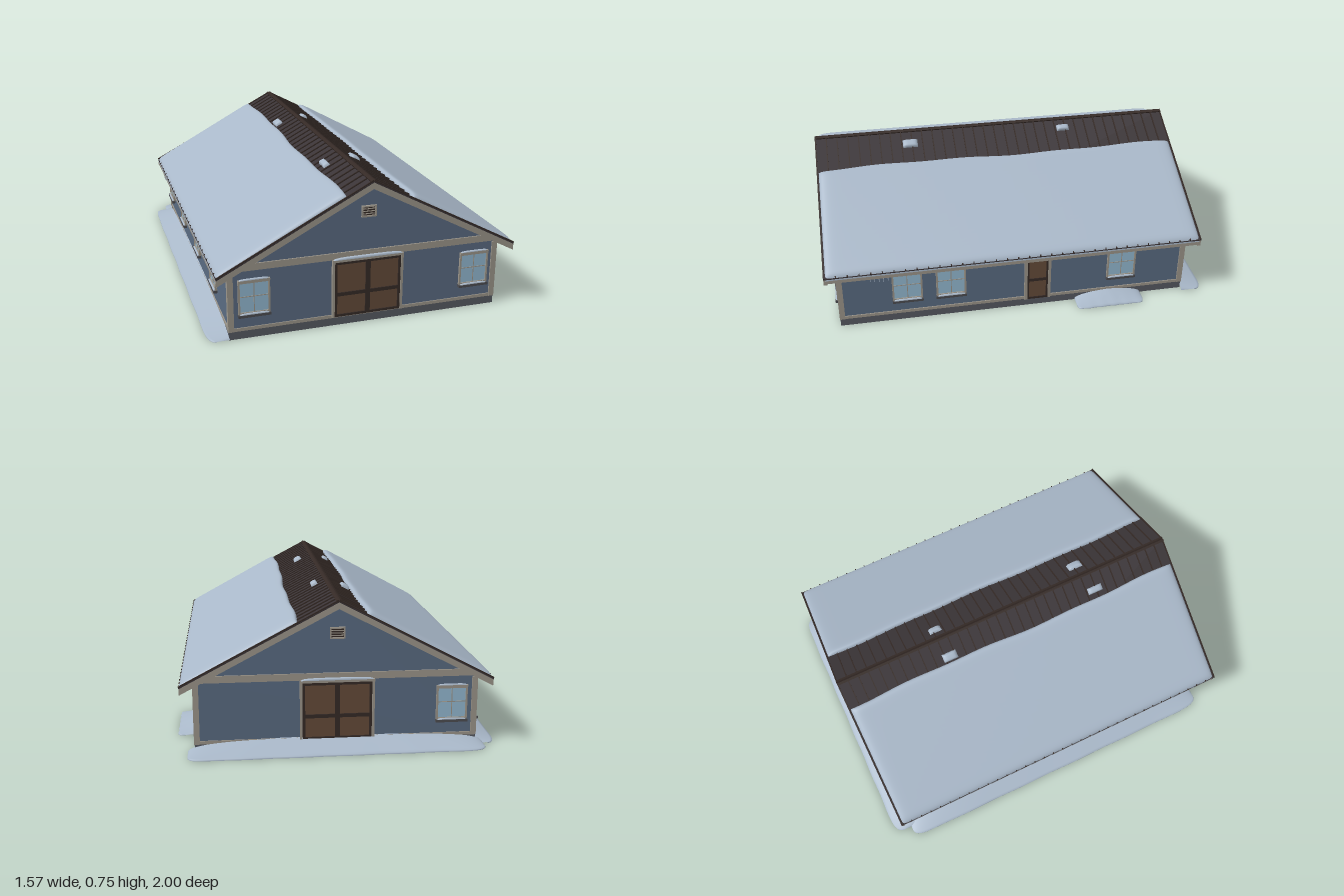
import * as THREE from 'three';

const mat = (color, side = THREE.FrontSide) => new THREE.MeshStandardMaterial({ color, side });
const M = {
  wall: mat(0x5a6b82), trim: mat(0x9c968b), base: mat(0x575a62), roof: mat(0x3a3437), dark: mat(0x352a26),
  door: mat(0x644b39), glass: mat(0x94bad2), metal: mat(0x4c4c50), floor: mat(0x4a3a31),
  snow: mat(0xa9b8c9, THREE.DoubleSide),
};
const HW = 0.683, HL = 0.907;                      // wall half width and half length
const RIDGE = 0.74, EAVE_X = 0.75, EAVE_Y = 0.345, RL = 0.97;
const SLOPE = (RIDGE - EAVE_Y) / EAVE_X, ANGLE = Math.atan(SLOPE);
const roofY = (x) => RIDGE - SLOPE * Math.abs(x);

function add(parent, name, geometry, material, x = 0, y = 0, z = 0) {
  const m = new THREE.Mesh(geometry, material);
  m.name = name;
  m.position.set(x, y, z);
  parent.add(m);
  return m;
}
const box = (p, name, material, w, h, d, x, y, z) => add(p, name, new THREE.BoxGeometry(w, h, d), material, x, y, z);

function prism(points, depth) {
  const shape = new THREE.Shape(points.map(([x, y]) => new THREE.Vector2(x, y)));
  return new THREE.ExtrudeGeometry(shape, { depth, bevelEnabled: false });
}

// Inverted V section following the roof, from "top" to "bottom" below the roof line
function chevron(top, bottom, halfWidth, depth) {
  const e = roofY(halfWidth);
  return prism([[-halfWidth, e - bottom], [0, RIDGE - bottom], [halfWidth, e - bottom],
    [halfWidth, e - top], [0, RIDGE - top], [-halfWidth, e - top]], depth);
}

// Group on a wall: local x to the right, y up, z outwards
function onWall(parent, name, side, along) {
  const g = new THREE.Group();
  g.name = name;
  const [x, z, turn] = {
    front: [along, HL, 0], back: [along, -HL, Math.PI],
    left: [HW, along, Math.PI / 2], right: [-HW, along, -Math.PI / 2],
  }[side];
  g.position.set(x, 0, z);
  g.rotation.y = turn;
  parent.add(g);
  return g;
}

// Rectangular surround of four boards
function surround(g, name, material, w, h, t, d, y) {
  for (const s of [-1, 1]) {
    box(g, name, material, t, h, d, s * (w - t) / 2, y, d / 2);
    box(g, name, material, w - 2 * t, t, d, 0, y + s * (h - t) / 2, d / 2);
  }
}

function addWindow(parent, side, along) {
  const g = onWall(parent, 'window', side, along);
  box(g, 'glass', M.glass, 0.145, 0.155, 0.005, 0, 0.208, 0.0025);
  surround(g, 'windowFrame', M.trim, 0.154, 0.166, 0.009, 0.011, 0.21);
  box(g, 'muntin', M.trim, 0.004, 0.15, 0.003, 0, 0.21, 0.006);
  box(g, 'muntin', M.trim, 0.14, 0.004, 0.003, 0, 0.215, 0.006);
  box(g, 'windowSill', M.metal, 0.158, 0.013, 0.02, 0, 0.12, 0.01);
  box(g, 'windowHead', M.trim, 0.154, 0.008, 0.014, 0, 0.296, 0.007);
  snowCap(g, 'sillSnow', 0.14, 0.007, 0.018, 0, 0.1265, 0.01);
  snowCap(g, 'headSnow', 0.14, 0.006, 0.014, 0, 0.3, 0.007);
}

function addBarnDoor(parent, side) {
  const g = onWall(parent, 'barnDoor', side, 0);
  for (const s of [-1, 1]) {
    const leaf = new THREE.Group();
    leaf.name = 'doorLeaf';
    leaf.position.x = s * 0.084;
    g.add(leaf);
    box(leaf, 'doorPanel', M.door, 0.168, 0.285, 0.008, 0, 0.19, 0.004);
    surround(leaf, 'doorRail', M.dark, 0.168, 0.285, 0.012, 0.014, 0.19);
    box(leaf, 'midRail', M.dark, 0.145, 0.018, 0.014, 0, 0.165, 0.007);
    box(g, 'doorCasing', M.trim, 0.012, 0.3, 0.016, s * 0.175, 0.195, 0.008);
  }
  box(g, 'doorHead', M.trim, 0.362, 0.012, 0.018, 0, 0.34, 0.009);
  snowCap(g, 'headSnow', 0.35, 0.01, 0.02, 0, 0.346, 0.01);
}

function addSideDoor(parent, side, along) {
  const g = onWall(parent, 'sideDoor', side, along);
  box(g, 'doorPanel', M.door, 0.11, 0.245, 0.006, 0, 0.165, 0.003);
  surround(g, 'doorRail', M.dark, 0.112, 0.25, 0.011, 0.01, 0.165);
  box(g, 'midRail', M.dark, 0.1, 0.016, 0.01, 0, 0.16, 0.005);
  for (const s of [-1, 1]) box(g, 'doorCasing', M.trim, 0.015, 0.265, 0.013, s * 0.062, 0.172, 0.0065);
  box(g, 'doorHead', M.trim, 0.14, 0.013, 0.015, 0, 0.302, 0.0075);
}

function addVent(parent, side) {
  const g = onWall(parent, 'gableVent', side, 0);
  box(g, 'ventBack', M.dark, 0.066, 0.05, 0.005, 0, 0.575, 0.0025);
  surround(g, 'ventFrame', M.trim, 0.074, 0.056, 0.007, 0.012, 0.575);
  for (let i = -1; i <= 1; i++) box(g, 'ventSlat', M.trim, 0.06, 0.004, 0.008, 0, 0.575 + i * 0.012, 0.005);
}

// Sheet over the unit square whose points are set by a rule
function sheet(nu, nv, rule) {
  const geo = new THREE.PlaneGeometry(1, 1, nu, nv), p = geo.attributes.position;
  for (let i = 0; i < p.count; i++) p.setXYZ(i, ...rule(p.getX(i) + 0.5, p.getY(i) + 0.5));
  geo.computeVertexNormals();
  return geo;
}
const ease = (t) => 0.5 - 0.5 * Math.cos(Math.PI * t);
const pillow = (t, n) => Math.sqrt(Math.max(0, 1 - Math.abs(2 * t - 1) ** n));

// Small cushion of snow with rounded borders
function snowCap(parent, name, w, h, d, x, y, z) {
  const geo = sheet(10, 10, (a, b) => {
    const u = ease(a), v = ease(b);
    return [(u - 0.5) * w, h * pillow(u, 5) * pillow(v, 5), (0.5 - v) * d];
  });
  return add(parent, name, geo, M.snow, x, y, z);
}

// Thick roof snow with a wavy upper edge, thinner towards the eave
function roofSnow(side, inner, thick, phase) {
  return sheet(36, 64, (a, b) => {
    const u = ease(a), v = ease(b), z = (v * 2 - 1) * 0.96;
    const top = inner + 0.005 * Math.sin(z * 5 + phase) + 0.003 * Math.sin(z * 13 + phase);
    const x = top + (EAVE_X - top) * u;
    const lift = thick * (1 - 0.35 * u) * pillow(u, 30) * pillow(v, 50);
    return [side * (x + lift * 0.2), roofY(x) - 0.003 - 0.01 * u ** 60 + lift, z];
  });
}

// Ground snow sloping straight down from a wall; local x along the wall, z outwards
function drift(parent, side, along, length, depth, height, endPower) {
  const g = onWall(parent, 'snowDrift', side, along);
  const geo = sheet(48, 10, (a, b) => {
    const u = ease(a), s = Math.min(1, b / 0.9);
    const reach = depth * (0.6 + 0.4 * pillow(u, 24)) * (1 - 0.025 * Math.sin(u * 17) ** 2);
    const y = b > 0.95 ? 0 : 0.004 + (height * (1 - s) + 0.004) * pillow(u, endPower);
    return [(u - 0.5) * length, y, reach * s];
  });
  add(g, 'driftSurface', geo, M.snow);
}

export function createModel() {
  const model = new THREE.Group();
  model.name = 'barn';
  const barn = new THREE.Group();
  barn.name = 'building';
  barn.position.set(0.005, 0, 0.03);
  model.add(barn);

  // Raised floor inside a foundation ring, and the walls
  box(barn, 'floor', M.floor, 2 * HW - 0.02, 0.008, 2 * HL - 0.02, 0, 0.034, 0);
  for (const s of [-1, 1]) {
    box(barn, 'foundation', M.base, 0.022, 0.04, 2 * HL + 0.008, s * (HW - 0.007), 0.02, 0);
    box(barn, 'foundation', M.base, 2 * HW - 0.036, 0.04, 0.022, 0, 0.02, s * (HL - 0.007));
  }
  const wallTop = roofY(HW) - 0.02;
  add(barn, 'walls', prism([[-HW, 0.04], [HW, 0.04], [HW, wallTop], [0, RIDGE - 0.02], [-HW, wallTop]], 2 * HL),
    M.wall, 0, 0, -HL);

  // Base trim, corner boards and gable bands
  box(barn, 'baseTrim', M.trim, 2 * HW + 0.01, 0.016, 2 * HL + 0.01, 0, 0.048, 0);
  for (const sz of [-1, 1]) {
    for (const sx of [-1, 1]) {
      box(barn, 'cornerBoard', M.trim, 0.028, 0.3, 0.028, sx * (HW - 0.007), 0.19, sz * (HL - 0.007));
    }
    box(barn, 'gableBand', M.trim, 2 * HW, 0.034, 0.007, 0, 0.362, sz * (HL + 0.0035));
  }

  // Openings
  for (const side of ['front', 'back']) {
    addBarnDoor(barn, side);
    addVent(barn, side);
    addWindow(barn, side, -0.563);
  }
  addWindow(barn, 'front', 0.565);
  for (const z of [0.562, 0.338, -0.565]) addWindow(barn, 'left', z);
  addSideDoor(barn, 'left', -0.115);
  for (const z of [-0.815, -0.37, 0.1, 0.55]) addWindow(barn, 'right', z);

  // Roof sheet over a soffit, verge boards, fascias and ridge cap
  add(barn, 'roofSheet', chevron(0, 0.006, EAVE_X, 2 * RL), M.roof, 0, 0, -RL);
  add(barn, 'soffit', chevron(0.006, 0.022, EAVE_X - 0.01, 2 * RL - 0.02), M.trim, 0, 0, -RL + 0.01);
  for (const z of [RL - 0.018, -RL + 0.001]) {
    add(barn, 'vergeBoard', chevron(0.006, 0.038, EAVE_X - 0.001, 0.017), M.trim, 0, 0, z);
  }
  for (const s of [-1, 1]) {
    box(barn, 'fascia', M.trim, 0.012, 0.026, 2 * RL - 0.036, s * (EAVE_X - 0.008), EAVE_Y - 0.019, 0);
    const slope = new THREE.Group();
    slope.name = 'roofSeams';
    slope.position.y = RIDGE;
    slope.rotation.z = -s * ANGLE;
    barn.add(slope);
    const len = EAVE_X / Math.cos(ANGLE);
    for (let i = 0; i <= 34; i++) {
      box(slope, 'roofSeam', M.dark, len, 0.008, 0.006, s * len / 2, 0.002, -RL + 0.004 + i * (2 * RL - 0.008) / 34);
    }
    box(slope, 'ridgeCap', M.dark, 0.013, 0.01, 2 * RL, s * 0.0065, 0.003, 0);
  }

  // Snow on the roof and leftover clumps near the ridge
  add(barn, 'roofSnow', roofSnow(-1, 0.13, 0.03, 0.5), M.snow);
  add(barn, 'roofSnow', roofSnow(1, 0.195, 0.028, 2.4), M.snow);
  for (const [x, z, w, d] of [[-0.1, -0.37, 0.046, 0.08], [0.06, -0.385, 0.036, 0.068],
    [-0.09, 0.505, 0.036, 0.085], [0.08, 0.465, 0.048, 0.08]]) {
    snowCap(barn, 'snowClump', w, 0.018, d, x, roofY(x), z).rotation.z = -Math.sign(x) * ANGLE;
  }

  // Snow drifts on the ground
  drift(barn, 'right', -0.01, 1.85, 0.106, 0.05, 4);
  drift(barn, 'back', 0, 1.44, 0.123, 0.05, 4);
  drift(barn, 'left', -0.5, 0.36, 0.096, 0.04, 1.5);

  // Icicles under the eaves
  for (const s of [-1, 1]) {
    for (let i = 0; i < 5; i++) {
      const h = 0.022 + 0.006 * ((i * 3) % 4);
      const cone = new THREE.ConeGeometry(0.003, h, 6);
      cone.rotateX(Math.PI);
      add(barn, 'icicle', cone, M.snow, s * (EAVE_X - 0.006), 0.314 - h / 2, s * 0.7 + (i - 2) * 0.022);
    }
  }
  return model;
}
